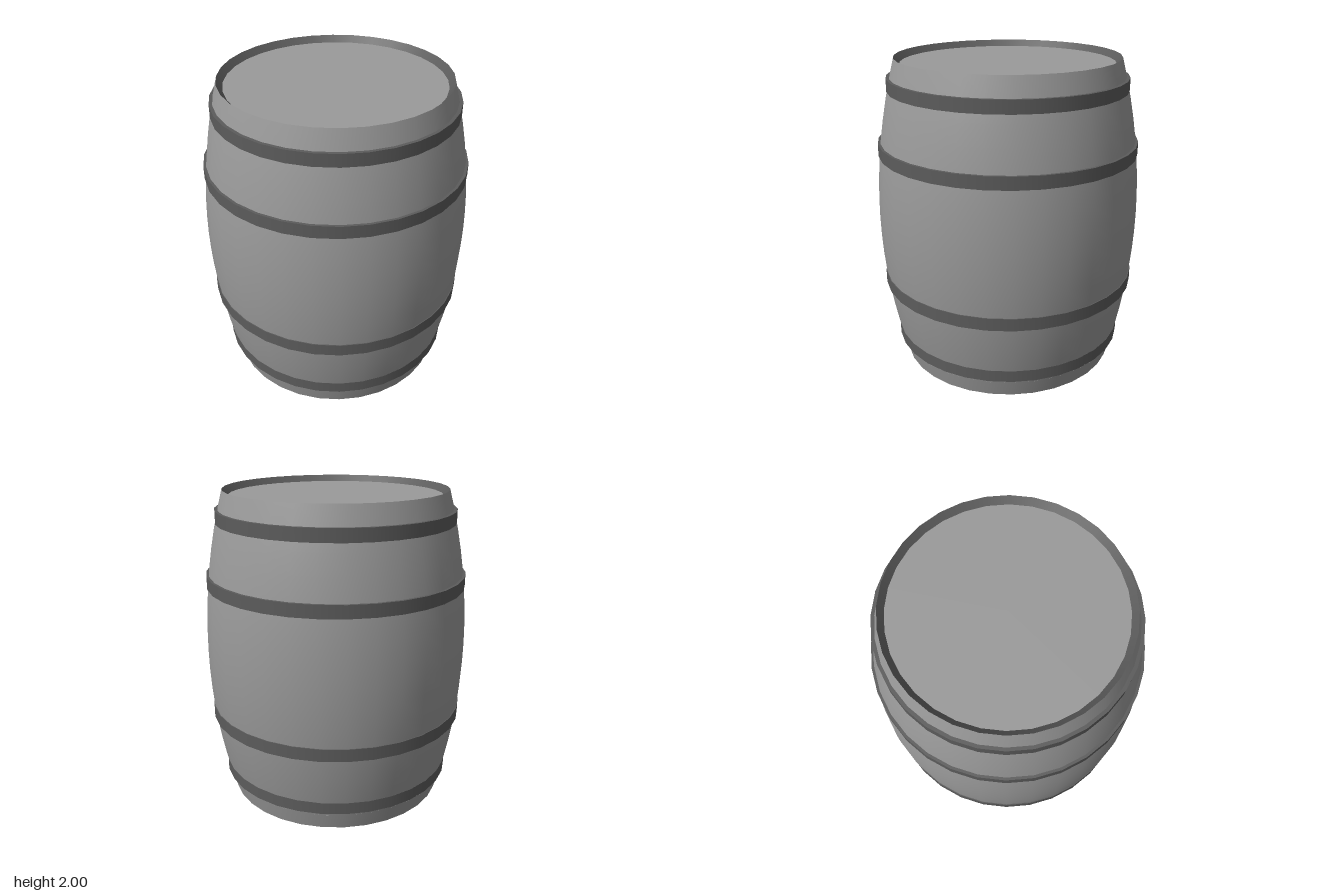
import * as THREE from 'three';

const SIDES = 32;

// Bulging outline of the barrel: radius at a given height
const radiusAt = (y) => 0.845 - 0.14 * (y - 1) ** 2;

export function createModel() {
  const barrel = new THREE.Group();
  barrel.name = 'barrel';

  const wood = new THREE.MeshStandardMaterial({ color: 0x9a9a9a, side: THREE.DoubleSide });
  wood.name = 'light grey wood';
  const iron = new THREE.MeshStandardMaterial({ color: 0x5c5c5c, side: THREE.DoubleSide });
  iron.name = 'dark grey iron';

  const add = (name, geometry, material, y = 0) => {
    const mesh = new THREE.Mesh(geometry, material);
    mesh.name = name;
    mesh.position.y = y;
    barrel.add(mesh);
    return mesh;
  };

  // Staved wall, open at both ends
  const profile = [];
  for (let i = 0; i <= 16; i++) {
    const y = i / 8;
    profile.push(new THREE.Vector2(radiusAt(y), y));
  }
  add('staves', new THREE.LatheGeometry(profile, SIDES), wood);

  // Sloping inner rim leading down to the recessed lid
  const rim = [new THREE.Vector2(0.705, 2), new THREE.Vector2(0.67, 1.96)];
  add('innerRim', new THREE.LatheGeometry(rim, SIDES), iron);

  // Recessed ends; the circles are turned so their corners meet the staves
  const end = (radius, direction) =>
    new THREE.CircleGeometry(radius, SIDES).rotateX(direction * Math.PI / 2);
  add('lid', end(0.67, -1), wood, 1.96);
  add('bottom', end(radiusAt(0.105), 1), wood, 0.105);

  // Four hoops
  const hoops = [
    ['lowerEndHoop', 0.757, 0.13, 0.205],
    ['lowerHoop', 0.829, 0.53, 0.61],
    ['upperHoop', 0.829, 1.4, 1.48],
    ['upperEndHoop', 0.757, 1.8, 1.88],
  ];
  for (const [name, radius, y0, y1] of hoops) {
    const inner = radius - 0.04;
    const wall = new THREE.CylinderGeometry(radius, radius, y1 - y0, SIDES, 1, true);
    add(name, wall, iron, (y0 + y1) / 2);
    for (const [y, direction] of [[y0, 1], [y1, -1]]) {
      const edge = new THREE.RingGeometry(inner, radius, SIDES).rotateX(direction * Math.PI / 2);
      add(name + 'Edge', edge, iron, y);
    }
  }

  return barrel;
}
